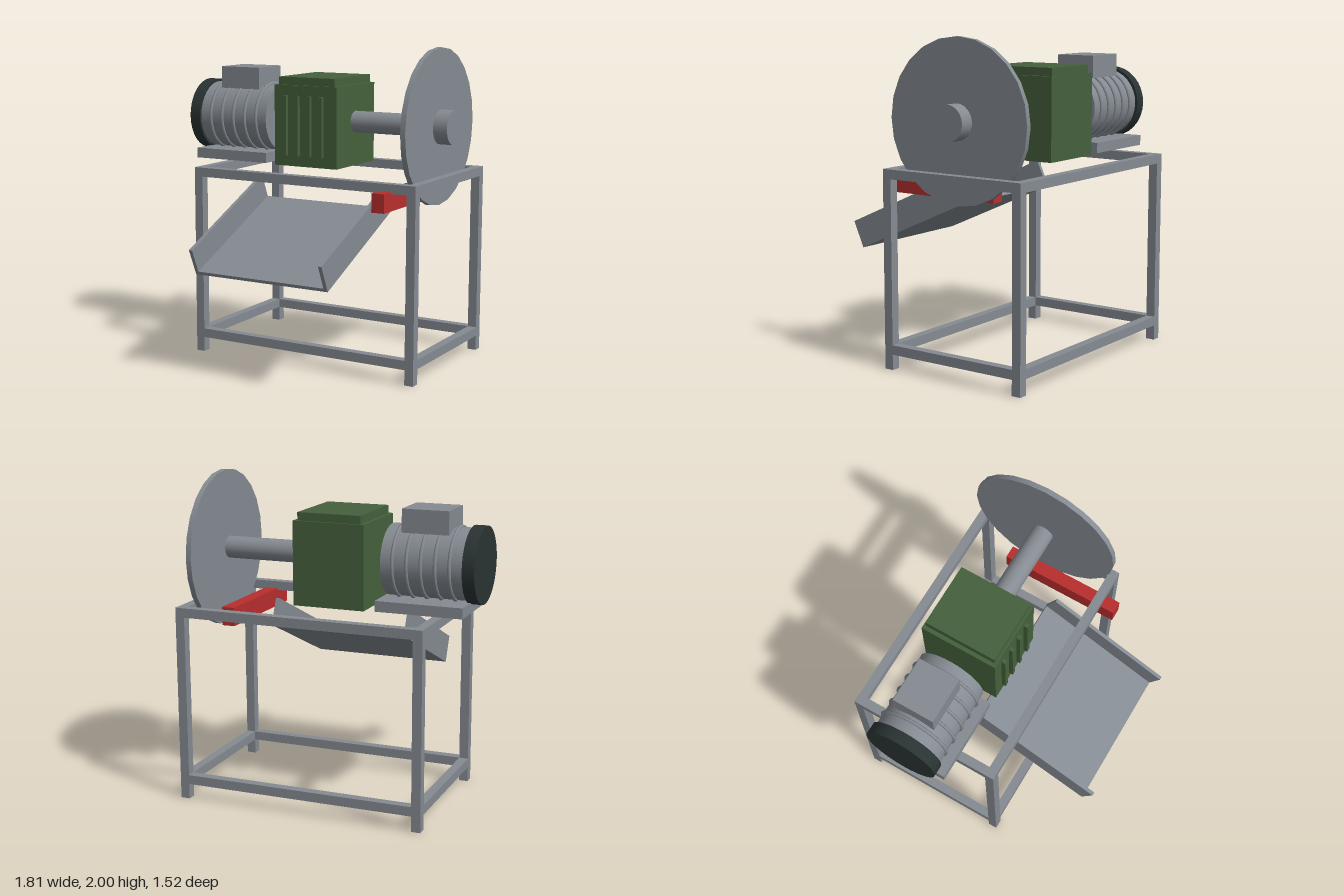
import * as THREE from 'three';

const material = (name, color) => {
  const m = new THREE.MeshStandardMaterial({ color });
  m.name = name;
  return m;
};

export function createModel() {
  const steel = material('steel grey', 0x858b92);
  const green = material('gearbox green', 0x45603c);
  const red = material('guard red', 0xb82e2e);
  const dark = material('fan cover black', 0x2a3333);

  const model = new THREE.Group();
  model.name = 'cuttingMachine';
  const group = (name) => {
    const g = new THREE.Group();
    g.name = name;
    model.add(g);
    return g;
  };
  const add = (parent, name, geometry, mat) => {
    const mesh = new THREE.Mesh(geometry, mat);
    mesh.name = name;
    parent.add(mesh);
    return mesh;
  };
  // Box given by its limits on each axis
  const box = (parent, name, mat, [x0, x1], [y0, y1], [z0, z1]) => {
    const mesh = add(parent, name, new THREE.BoxGeometry(x1 - x0, y1 - y0, z1 - z0), mat);
    mesh.position.set((x0 + x1) / 2, (y0 + y1) / 2, (z0 + z1) / 2);
    return mesh;
  };
  // Cylinder lying along x on the common drive axis
  const axisY = 1.515, axisZ = -0.265;
  const drum = (parent, name, mat, radius, x0, x1, sides = 32) => {
    const geometry = new THREE.CylinderGeometry(radius, radius, x1 - x0, sides);
    geometry.rotateZ(Math.PI / 2);
    const mesh = add(parent, name, geometry, mat);
    mesh.position.set((x0 + x1) / 2, axisY, axisZ);
    return mesh;
  };

  // Frame: four posts with a rail ring at the top and near the floor
  const frame = group('frame');
  const t = 0.058;
  const X0 = -0.69, X1 = 0.888, Z0 = -0.762, Z1 = 0.229, top = 1.216;
  for (const x of [X0, X1 - t]) {
    for (const z of [Z0, Z1 - t]) box(frame, 'post', steel, [x, x + t], [0, top], [z, z + t]);
  }
  for (const y of [0.095, top - t]) {
    for (const z of [Z0, Z1 - t]) box(frame, 'longRail', steel, [X0 + t, X1 - t], [y, y + t], [z, z + t]);
    for (const x of [X0, X1 - t]) box(frame, 'crossRail', steel, [x, x + t], [y, y + t], [Z0 + t, Z1 - t]);
  }

  // Motor with cooling rings, foot, terminal box and fan cover
  const motor = group('motor');
  drum(motor, 'motorBody', steel, 0.216, -0.83, -0.325);
  drum(motor, 'fanCover', dark, 0.233, -0.905, -0.83);
  for (let i = 0; i < 5; i++) {
    const ring = add(motor, 'coolingRing', new THREE.TorusGeometry(0.219, 0.011, 8, 32), steel);
    ring.rotation.y = Math.PI / 2;
    ring.position.set(-0.75 + i * 0.0875, axisY, axisZ);
  }
  box(motor, 'motorFoot', steel, [-0.845, -0.305], [1.24, 1.305], [-0.515, -0.02]);
  box(motor, 'terminalBox', steel, [-0.72, -0.43], [1.7, 1.842], [-0.4, -0.135]);

  // Gearbox with lid and front ribs
  const gearbox = group('gearbox');
  box(gearbox, 'gearboxBody', green, [-0.236, 0.217], [1.235, 1.75], [-0.515, -0.018]);
  box(gearbox, 'gearboxLid', green, [-0.211, 0.192], [1.75, 1.8], [-0.5, -0.033]);
  for (let i = 0; i < 4; i++) {
    const x = -0.15 + i * 0.087;
    box(gearbox, 'gearboxRib', green, [x - 0.013, x + 0.013], [1.302, 1.685], [-0.018, 0.008]);
  }

  // Shaft, cutting disc and hub
  const drive = group('drive');
  drum(drive, 'shaft', steel, 0.069, 0.217, 0.763, 24);
  drum(drive, 'cuttingDisc', steel, 0.487, 0.778, 0.811, 24);
  drum(drive, 'hub', steel, 0.108, 0.811, 0.904, 24);

  // Red feed bar beside the disc
  box(model, 'feedBar', red, [0.645, 0.728], [1.054, 1.17], [-0.462, 0.322]);

  // Discharge chute, sloping down to the front
  const chute = group('chute');
  chute.position.set(0.097, 0.895, 0.326);
  chute.rotation.x = 0.42;
  const hw = 0.462, hh = 0.089, hl = 0.434;
  box(chute, 'chuteFloor', steel, [-hw + 0.023, hw - 0.023], [-hh, -hh + 0.022], [-hl, hl]);
  for (const x of [-hw, hw - 0.023]) box(chute, 'chuteSide', steel, [x, x + 0.023], [-hh, hh], [-hl, hl]);

  return model;
}
